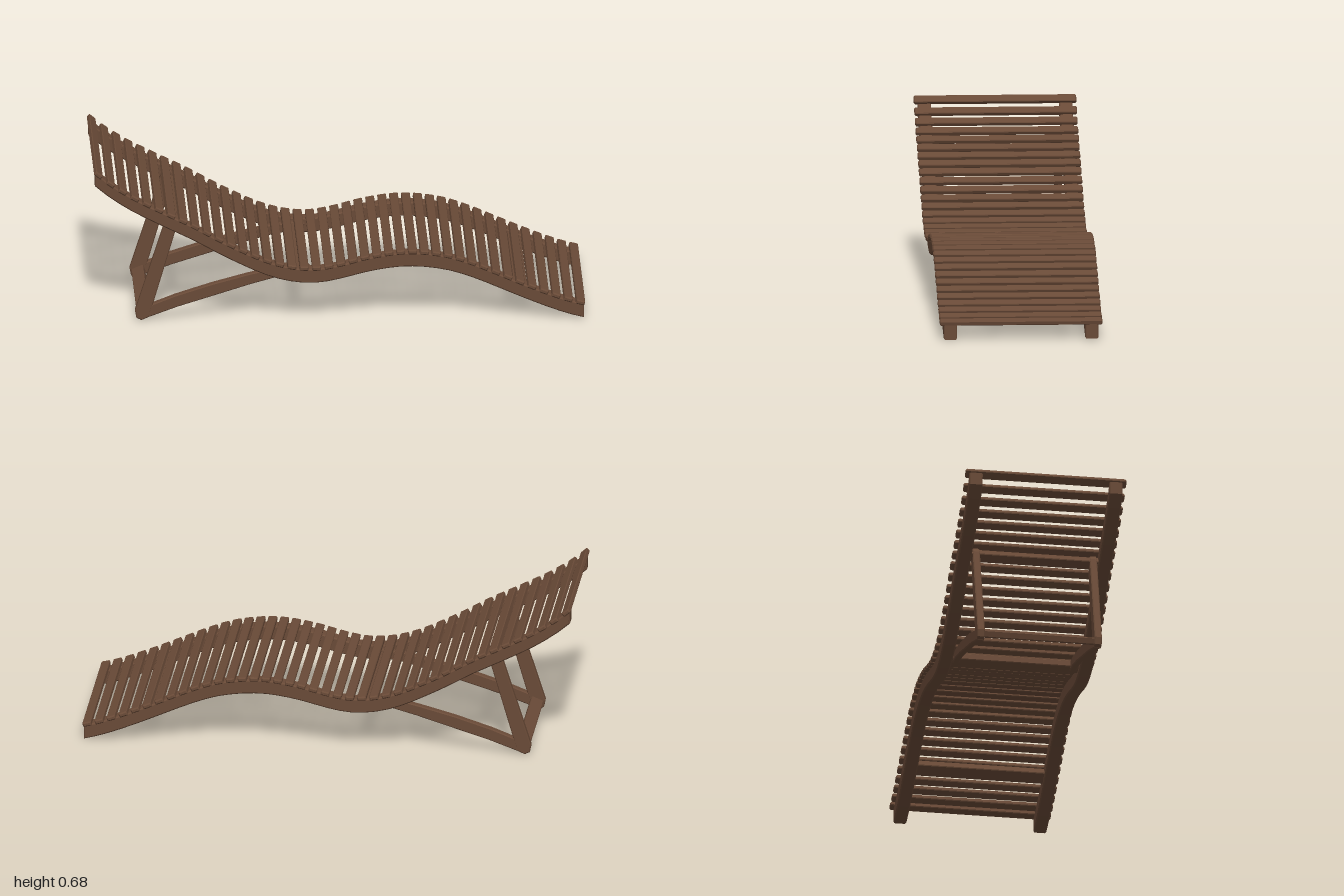
import * as THREE from 'three';

const wood = new THREE.MeshStandardMaterial({ color: 0x694a37 });
wood.name = 'brown wood';

// Side curve of the lying surface (tops of the slats)
const curve = new THREE.SplineCurve([
  [-1.0, 0.69], [-0.945, 0.643], [-0.895, 0.607], [-0.845, 0.575], [-0.795, 0.547],
  [-0.695, 0.495], [-0.595, 0.444], [-0.495, 0.386], [-0.395, 0.333], [-0.3, 0.289],
  [-0.2, 0.26], [-0.1, 0.252], [0, 0.268], [0.1, 0.294], [0.2, 0.312], [0.27, 0.317],
  [0.35, 0.313], [0.45, 0.295], [0.55, 0.26], [0.65, 0.216], [0.75, 0.171],
  [0.85, 0.129], [0.93, 0.1], [1.0, 0.081],
].map(([x, y]) => new THREE.Vector2(x, y)));
const samples = curve.getPoints(400);

function heightAt(x) {
  let i = 1;
  while (i < samples.length - 1 && samples[i].x < x) i++;
  const a = samples[i - 1], b = samples[i];
  return a.y + (b.y - a.y) * (x - a.x) / (b.x - a.x);
}

// Extrude a side outline along z, with chamfered ends, centred on z = 0
function extrudeZ(points, depth, bevel) {
  const geo = new THREE.ExtrudeGeometry(new THREE.Shape(points), {
    depth: depth - 2 * bevel, steps: 1, bevelEnabled: true, bevelSegments: 1,
    bevelThickness: bevel, bevelSize: bevel, bevelOffset: -bevel,
  });
  return geo.translate(0, 0, -depth / 2 + bevel);
}

function chamferedRect(w, h, c) {
  const x = w / 2, y = h / 2;
  return [[-x + c, -y], [x - c, -y], [x, -y + c], [x, y - c], [x - c, y], [-x + c, y], [-x, y - c], [-x, -y + c]]
    .map(([px, py]) => new THREE.Vector2(px, py));
}

export function createModel() {
  const group = new THREE.Group();
  const add = (name, geo, x = 0, y = 0, z = 0, angle = 0) => {
    const mesh = new THREE.Mesh(geo, wood);
    mesh.name = name;
    mesh.position.set(x, y, z);
    mesh.rotation.z = angle;
    group.add(mesh);
  };

  // Curved side rails
  const upper = [], lower = [];
  for (let i = 0; i <= 40; i++) {
    const x = -0.998 + 1.99 * i / 40, y = heightAt(x);
    upper.push(new THREE.Vector2(x, y - 0.017));
    lower.push(new THREE.Vector2(x, y - 0.077));
  }
  const rail = extrudeZ([...lower, ...upper.reverse()], 0.054, 0.005);
  for (const s of [-1, 1]) add('sideRail', rail, 0, 0, s * 0.288);

  // Slats following the curve
  const slat = extrudeZ(chamferedRect(0.036, 0.019, 0.003), 0.662, 0.005);
  const count = 41;
  for (let i = 0; i < count; i++) {
    const x = -0.978 + 1.958 * i / (count - 1);
    const angle = Math.atan2(heightAt(x + 0.015) - heightAt(x - 0.015), 0.03);
    add('slat', slat, x + 0.0095 * Math.sin(angle), heightAt(x) - 0.0095 * Math.cos(angle), 0, angle);
  }

  // Prop frame: an upright leg and a slightly bowed brace on each side
  const leg = extrudeZ([[-0.832, 0.042], [-0.826, 0.012], [-0.805, 0.003], [-0.775, 0.016],
    [-0.768, 0.04], [-0.65, 0.45], [-0.665, 0.468], [-0.69, 0.468], [-0.703, 0.45]]
    .map(p => new THREE.Vector2(...p)), 0.03, 0.004);
  const brace = extrudeZ([[-0.81, 0.003], [-0.66, 0.058], [-0.5, 0.108], [-0.36, 0.152], [-0.24, 0.185],
    [-0.13, 0.2], [-0.12, 0.225], [-0.135, 0.236], [-0.26, 0.222], [-0.38, 0.193],
    [-0.52, 0.155], [-0.67, 0.107], [-0.8, 0.056], [-0.828, 0.03]]
    .map(p => new THREE.Vector2(...p)), 0.029, 0.004);
  for (const s of [-1, 1]) {
    add('propLeg', leg, 0, 0, s * 0.241);
    add('propBrace', brace, 0, 0, s * 0.241);
  }

  // Cross bars
  const bar = (name, x, y, w, h, length, angle) =>
    add(name, extrudeZ(chamferedRect(w, h, 0.003), length, 0.003), x, y, 0, angle);
  bar('footBar', -0.797, 0.037, 0.052, 0.028, 0.47, 0.4);
  bar('propTopBar', -0.68, 0.44, 0.045, 0.028, 0.54, -0.48);
  bar('braceBar', -0.17, 0.212, 0.05, 0.028, 0.54, -0.15);
  bar('legRestBar', 0.73, 0.137, 0.06, 0.03, 0.54, -0.42);

  return group;
}
